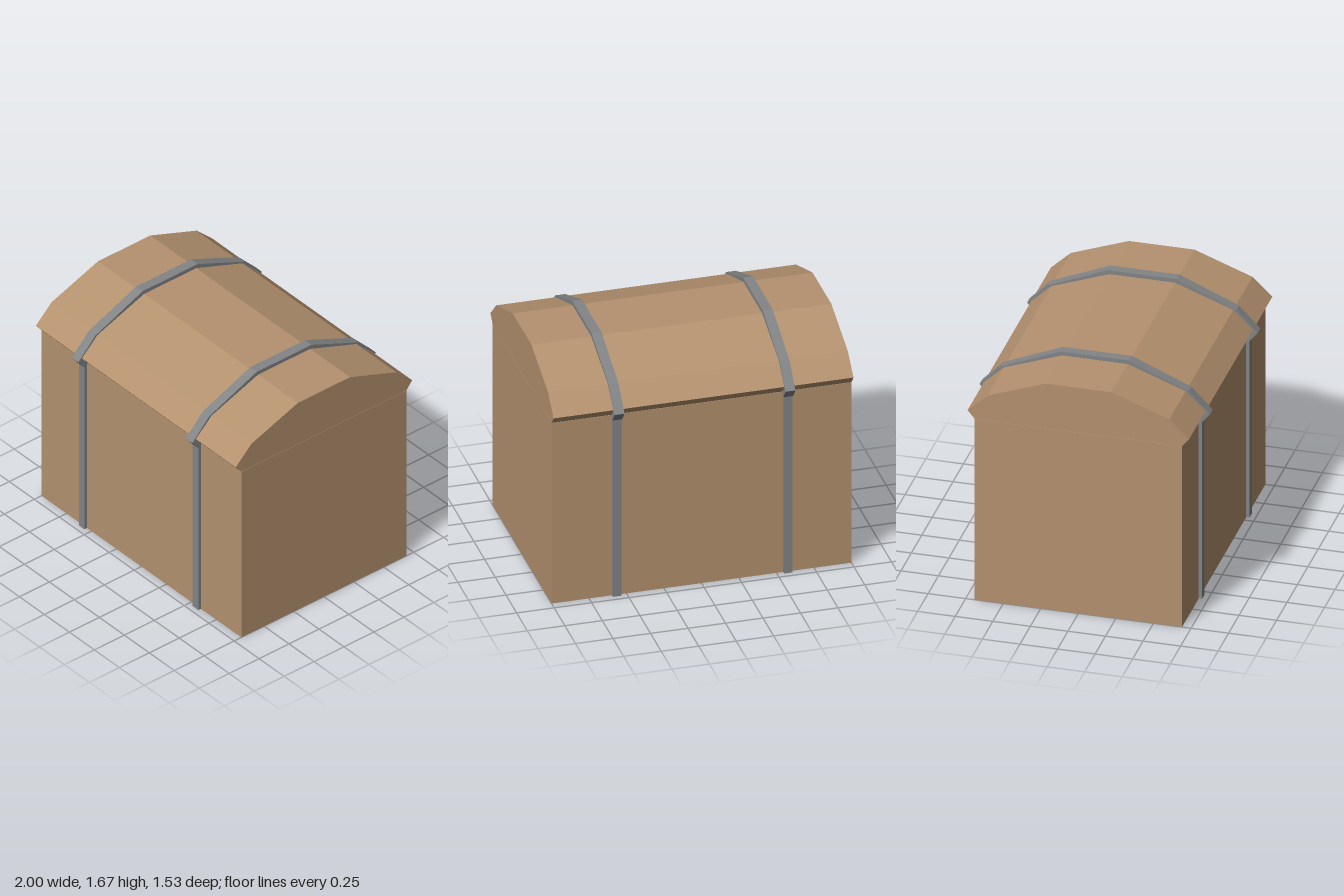
import * as THREE from 'three';

const wood = new THREE.MeshStandardMaterial({ color: 0xb4926f, flatShading: true });
const iron = new THREE.MeshStandardMaterial({ color: 0x828486, flatShading: true });

// Half profiles (z, y) from the rim up to the crown
const lidHalf = [[0.69, 1.318], [0.737, 1.375], [0.605, 1.5], [0.218, 1.643]];
const bandHalf = [[0.712, 1.287], [0.767, 1.356], [0.625, 1.503], [0.229, 1.67]];
const bandInnerHalf = [[0.686, 1.318], [0.731, 1.374], [0.602, 1.496], [0.217, 1.639]];

// Completes a half profile by mirroring it across z = 0
const arch = half => [...half, ...half.map(([z, y]) => [-z, y]).reverse()];

// Extrudes a (z, y) outline along x, centred on x = 0
function extrudeX(points, width) {
  const shape = new THREE.Shape(points.map(([z, y]) => new THREE.Vector2(z, y)));
  const geo = new THREE.ExtrudeGeometry(shape, { depth: width, bevelEnabled: false });
  return geo.translate(0, 0, -width / 2).rotateY(Math.PI / 2);
}

function addMesh(parent, name, geo, material, x = 0, y = 0, z = 0) {
  const mesh = new THREE.Mesh(geo, material);
  mesh.name = name;
  mesh.position.set(x, y, z);
  parent.add(mesh);
}

export function createModel() {
  const chest = new THREE.Group();
  chest.name = 'chest';

  // Wooden box and faceted lid
  addMesh(chest, 'body', new THREE.BoxGeometry(2, 1.316, 1.38), wood, 0, 0.658, 0);
  addMesh(chest, 'lid', extrudeX(arch(lidHalf), 2), wood);

  // Iron bands over the lid, with narrower straps down the front and back
  const bandGeo = extrudeX([...arch(bandHalf), ...arch(bandInnerHalf).reverse()], 0.066);
  const strapGeo = new THREE.BoxGeometry(0.056, 1.3, 0.03);
  for (const [side, x] of [['left', 0.568], ['right', -0.572]]) {
    addMesh(chest, side + 'LidBand', bandGeo, iron, x);
    addMesh(chest, side + 'FrontStrap', strapGeo, iron, x, 0.65, 0.697);
    addMesh(chest, side + 'BackStrap', strapGeo, iron, x, 0.65, -0.697);
  }
  return chest;
}
